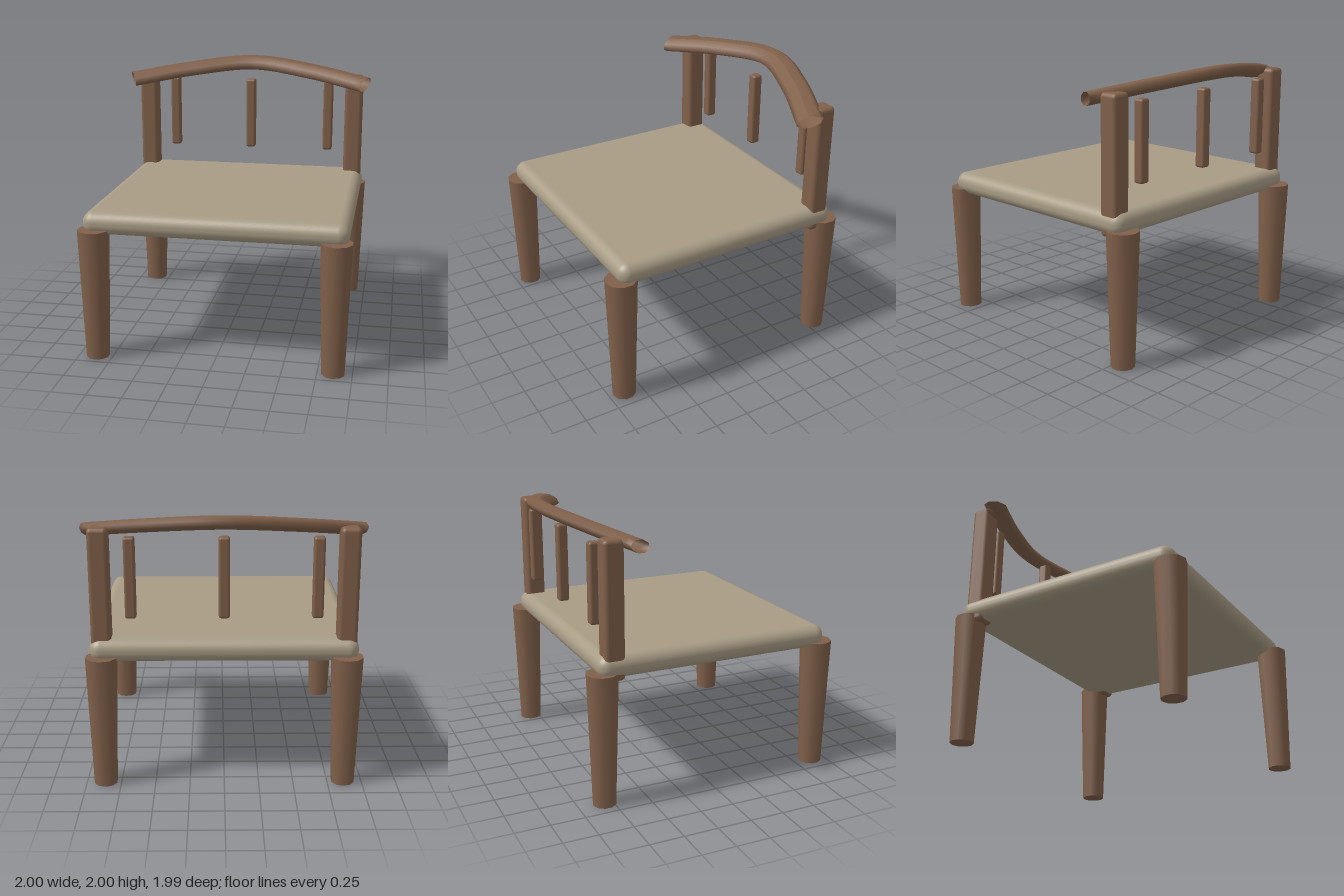
import * as THREE from 'three';
import { RoundedBoxGeometry } from 'three/addons/geometries/RoundedBoxGeometry.js';

const wood = new THREE.MeshStandardMaterial({ color: 0x80604a });
const openWood = new THREE.MeshStandardMaterial({ color: 0x80604a, side: THREE.DoubleSide });
const fabric = new THREE.MeshStandardMaterial({ color: 0xa89c85 });

export function createModel() {
  const chair = new THREE.Group();
  chair.name = 'chair';

  const add = (name, geometry, material, x, y, z) => {
    const mesh = new THREE.Mesh(geometry, material);
    mesh.name = name;
    mesh.position.set(x, y, z);
    chair.add(mesh);
    return mesh;
  };

  // Soft seat pad
  add('seat', new RoundedBoxGeometry(1.895, 0.165, 1.77, 5, 0.078), fabric, 0, 1.0125, 0.035);

  // Tapered legs and square back posts, mirrored left and right
  const legGeometry = new THREE.CylinderGeometry(0.115, 0.085, 0.97, 10);
  const postGeometry = new RoundedBoxGeometry(0.142, 0.97, 0.146, 2, 0.03);
  for (const [side, label] of [[1, 'left'], [-1, 'right']]) {
    add(`${label}FrontLeg`, legGeometry, wood, side * 0.863, 0.485, 0.883);
    add(`${label}BackLeg`, legGeometry, wood, side * 0.863, 0.485, -0.81);
    add(`${label}BackPost`, postGeometry, wood, side * 0.862, 1.397, -0.735);
  }

  // Slim upright slats
  const slatGeometry = new RoundedBoxGeometry(0.078, 0.575, 0.078, 2, 0.018);
  [['leftSlat', 0.648], ['middleSlat', 0], ['rightSlat', -0.648]].forEach(([name, x]) =>
    add(name, slatGeometry, wood, x, 1.535, -0.777));

  // Bowed top rail: a flattened open tube, bent in one plane and tilted forward
  const bow = new THREE.CatmullRomCurve3([
    [-0.957, 0.359], [-0.5, 0.142], [0, 0], [0.5, 0.142], [0.957, 0.359],
  ].map(([x, z]) => new THREE.Vector3(x, 0, z)));
  const railGeometry = new THREE.TubeGeometry(bow, 32, 0.097, 8, false);
  railGeometry.scale(1, 0.49, 1);
  railGeometry.computeVertexNormals();
  const rail = add('topRail', railGeometry, openWood, 0, 1.945, -0.904);
  rail.rotation.x = 0.328;

  return chair;
}
